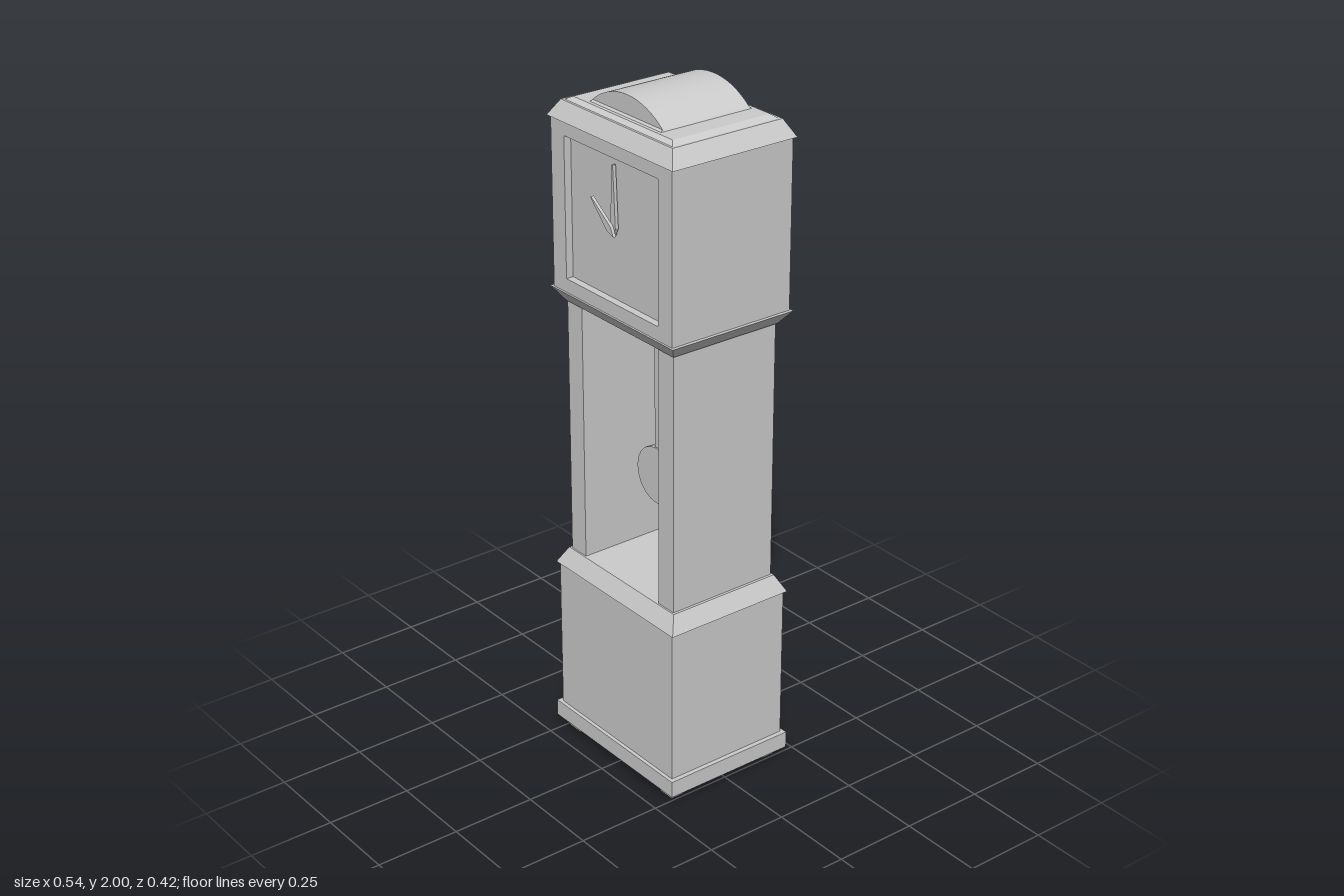
import * as THREE from 'three';

const material = new THREE.MeshStandardMaterial({ color: 0xcccccc });

export function createModel() {
  const clock = new THREE.Group();
  clock.name = 'longcaseClock';

  function add(name, geometry, x = 0, y = 0, z = 0) {
    const mesh = new THREE.Mesh(geometry, material);
    mesh.name = name;
    mesh.position.set(x, y, z);
    clock.add(mesh);
    return mesh;
  }

  // Block between two heights; half sizes [x, z] may differ at bottom and top
  function block(name, y0, y1, bottom, top = bottom, x = 0, z = 0) {
    const geometry = new THREE.BoxGeometry(2, y1 - y0, 2);
    const p = geometry.attributes.position;
    for (let i = 0; i < p.count; i++) {
      const [hx, hz] = p.getY(i) > 0 ? top : bottom;
      p.setX(i, p.getX(i) * hx);
      p.setZ(i, p.getZ(i) * hz);
    }
    geometry.computeVertexNormals();
    return add(name, geometry, x, (y0 + y1) / 2, z);
  }

  const polygon = (points) => new THREE.Shape(points.map(([x, y]) => new THREE.Vector2(x, y)));
  const extrude = (shape, depth) =>
    new THREE.ExtrudeGeometry(shape, { depth, bevelEnabled: false, curveSegments: 24 });

  // Feet
  for (const x of [-0.216, 0.216])
    for (const z of [-0.165, 0.165])
      block('foot', 0, 0.032, [0.025, 0.02], [0.035, 0.028], x, z);

  // Base
  block('plinth', 0.03, 0.08, [0.272, 0.208]);
  block('base', 0.08, 0.545, [0.258, 0.197]);
  block('baseMoulding', 0.545, 0.595, [0.268, 0.203], [0.24, 0.177]);

  // Trunk: U-shaped plan, open at the front
  const trunk = extrude(polygon([
    [-0.232, -0.172], [-0.167, -0.172], [-0.167, 0.11], [0.167, 0.11],
    [0.167, -0.172], [0.232, -0.172], [0.232, 0.172], [-0.232, 0.172],
  ]), 0.77);
  trunk.rotateX(-Math.PI / 2);
  add('trunk', trunk, 0, 0.593, 0);

  // Pendulum
  add('pendulumRod', new THREE.BoxGeometry(0.022, 0.42, 0.012), 0, 1.16, 0.04);
  const bob = new THREE.CylinderGeometry(0.085, 0.085, 0.02, 20);
  bob.rotateX(Math.PI / 2);
  add('pendulumBob', bob, 0, 0.88, 0.04);

  // Hood with a recessed dial
  block('hoodMoulding', 1.36, 1.4, [0.236, 0.175], [0.268, 0.203]);
  block('hoodBody', 1.4, 1.887, [0.258, 0.186], [0.258, 0.186], 0, -0.011);
  const frame = polygon([[-0.258, 1.4], [0.258, 1.4], [0.258, 1.887], [-0.258, 1.887]]);
  frame.holes.push(polygon([[-0.2, 1.44], [-0.2, 1.845], [0.2, 1.845], [0.2, 1.44]]));
  add('dialFrame', extrude(frame, 0.022), 0, 0, 0.175);

  // Hands: slim kites, pointing up before being turned
  function hand(name, length, width, angle, z, depth) {
    const shape = polygon([[0, -0.022], [width, 0.005], [0.002, length], [-0.002, length], [-width, 0.005]]);
    add(name, extrude(shape, depth), 0, 1.643, z).rotation.z = angle;
  }
  hand('minuteHand', 0.178, 0.011, 0, 0.18, 0.01);
  hand('hourHand', 0.106, 0.011, 0.86, 0.192, 0.009);

  // Cornice and ledge
  block('cornice', 1.885, 1.932, [0.268, 0.203], [0.236, 0.179]);
  block('ledge', 1.932, 1.942, [0.228, 0.172], [0.21, 0.158]);

  // Arched crest, flared at its foot on the front and back
  block('crestFoot', 1.94, 1.947, [0.152, 0.15], [0.146, 0.141]);
  const radius = 0.232, half = 0.15;
  const angle = Math.asin(half / radius);
  const arch = new THREE.Shape();
  arch.absarc(0, 2 - radius, radius, Math.PI / 2 - angle, Math.PI / 2 + angle, false);
  arch.closePath();
  add('crest', extrude(arch, 0.282), 0, 0, -0.141);

  return clock;
}
